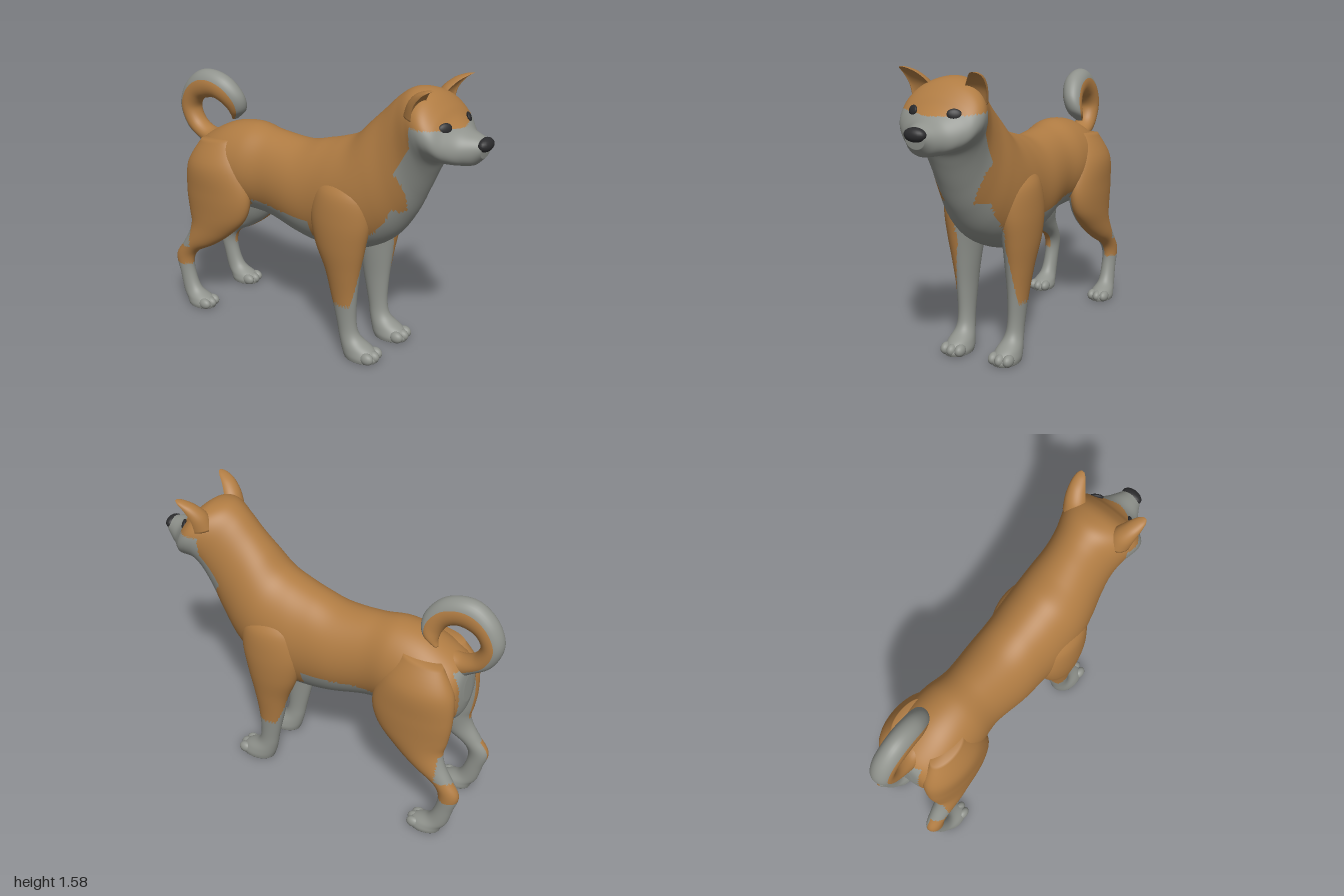
import * as THREE from 'three';

const material = (name, color) => Object.assign(new THREE.MeshStandardMaterial({ color }), { name });
const tan = material('tan fur', 0xb07c43);
const grey = material('pale grey fur', 0x90938d);
const dark = material('dark nose and eyes', 0x2b2b2d);

const catmull = (a, b, c, d, t) =>
  0.5 * (2 * b + (c - a) * t + (2 * a - 5 * b + 4 * c - d) * t * t + (3 * b - a - 3 * c + d) * t * t * t);

// Each section is [yA, zA, yB, zB, xCentre, halfWidth]: an oval from point A to
// point B. isGrey(x, y, z, cos, sin) picks the colour of each face.
function loft(name, sections, { isGrey = () => false, side = 1, sides = 48, steps = 6, shape = (c) => c } = {}) {
  const n = sections.length;
  const at = (i) => sections[Math.min(n - 1, Math.max(0, i))];
  const rows = (n - 1) * steps + 1;
  const pos = [];
  for (let r = 0; r < rows; r++) {
    const i = Math.min(n - 2, Math.floor(r / steps));
    const t = r / steps - i;
    const [ya, za, yb, zb, xc, w] = at(i).map((v, k) => catmull(at(i - 1)[k], v, at(i + 1)[k], at(i + 2)[k], t));
    for (let j = 0; j < sides; j++) {
      const a = (j / sides) * Math.PI * 2;
      const c = shape(Math.cos(a));
      pos.push(side * (xc + w * Math.sin(a)), (ya + yb) / 2 + ((ya - yb) / 2) * c, (za + zb) / 2 + ((za - zb) / 2) * c);
    }
  }
  // Cap centres
  for (const r of [0, rows - 1]) {
    const [ya, za, yb, zb, xc] = at(r === 0 ? 0 : n - 1);
    pos.push(side * xc, (ya + yb) / 2, (za + zb) / 2);
  }
  const buckets = [[], []];
  const add = (j, ...tri) => {
    const m = [0, 1, 2].map((k) => tri.reduce((s, v) => s + pos[v * 3 + k], 0) / 3);
    const a = ((j + 0.5) / sides) * Math.PI * 2;
    buckets[isGrey(m[0] * side, m[1], m[2], Math.cos(a), Math.sin(a)) ? 1 : 0].push(...tri);
  };
  for (let j = 0; j < sides; j++) {
    const k = (j + 1) % sides;
    for (let r = 0; r < rows - 1; r++) {
      const p = r * sides, q = p + sides;
      add(j, p + j, p + k, q + k);
      add(j, p + j, q + k, q + j);
    }
    const last = (rows - 1) * sides;
    add(j, rows * sides, k, j);
    add(j, rows * sides + 1, last + j, last + k);
  }
  // Turn all faces outward
  const V = (i) => new THREE.Vector3().fromArray(pos, i * 3);
  let volume = 0;
  for (const b of buckets)
    for (let i = 0; i < b.length; i += 3) volume += V(b[i]).dot(V(b[i + 1]).cross(V(b[i + 2])));
  if (volume < 0) buckets.forEach((b) => b.reverse());

  const geo = new THREE.BufferGeometry();
  geo.setAttribute('position', new THREE.Float32BufferAttribute(pos, 3));
  geo.setIndex([...buckets[0], ...buckets[1]]);
  geo.addGroup(0, buckets[0].length, 0);
  geo.addGroup(buckets[0].length, buckets[1].length, 1);
  geo.computeVertexNormals();
  const mesh = new THREE.Mesh(geo, [tan, grey]);
  mesh.name = name;
  return mesh;
}

function ball(name, mat, position, scale, facing) {
  const mesh = new THREE.Mesh(new THREE.SphereGeometry(1, 20, 14), mat);
  mesh.name = name;
  mesh.position.set(...position);
  mesh.scale.set(...scale);
  if (facing) mesh.quaternion.setFromUnitVectors(new THREE.Vector3(0, 0, 1), new THREE.Vector3(...facing).normalize());
  return mesh;
}

// Rump, trunk, neck, skull and muzzle: A is the back line, B the belly line
const bodySections = [
  [0.92, -0.83, 0.78, -0.84, 0, 0.05],
  [0.99, -0.81, 0.70, -0.82, 0, 0.14],
  [1.05, -0.74, 0.65, -0.76, 0, 0.19],
  [1.12, -0.60, 0.63, -0.62, 0, 0.21],
  [1.145, -0.45, 0.64, -0.45, 0, 0.205],
  [1.125, -0.30, 0.63, -0.30, 0, 0.185],
  [1.115, -0.10, 0.58, -0.10, 0, 0.205],
  [1.15, 0.04, 0.555, 0.05, 0, 0.21],
  [1.185, 0.15, 0.56, 0.20, 0, 0.22],
  [1.23, 0.25, 0.63, 0.38, 0, 0.22],
  [1.32, 0.34, 0.72, 0.50, 0, 0.205],
  [1.40, 0.42, 0.85, 0.59, 0, 0.185],
  [1.48, 0.50, 0.98, 0.65, 0, 0.18],
  [1.525, 0.57, 1.10, 0.70, 0, 0.195],
  [1.53, 0.64, 1.17, 0.735, 0, 0.215],
  [1.51, 0.70, 1.187, 0.77, 0, 0.22],
  [1.46, 0.76, 1.187, 0.81, 0, 0.205],
  [1.41, 0.805, 1.187, 0.85, 0, 0.165],
  [1.37, 0.86, 1.19, 0.89, 0, 0.115],
  [1.35, 0.925, 1.20, 0.925, 0, 0.08],
  [1.335, 0.975, 1.24, 0.965, 0, 0.052],
];
function bodyIsGrey(x, y, z, cos) {
  const w = Math.abs(x);
  if (z > 0.66 && y > 1.17) return y < 1.385 - 0.1 * Math.max(0, z - 0.75); // cheeks, muzzle
  if (z > 0.05 && cos < -0.2) return w < (y < 0.9 ? 0.145 : 0.08 + (y - 0.9) * 0.45); // chest, throat
  if (z < -0.77) return w < 0.1 && y < 0.99; // under the tail
  if (z < -0.38) return y < 0.72 && w < 0.14;
  return z < 0.08 && y < 0.75 - 0.04 * Math.abs(z + 0.3); // belly
}

// Legs, shoulder or hip to paw: A is the front edge, B the back edge
const foreSections = [
  [1.02, 0.36, 1.02, 0.12, 0.13, 0.05],
  [0.94, 0.42, 0.94, 0.08, 0.145, 0.095],
  [0.80, 0.42, 0.80, 0.06, 0.16, 0.099],
  [0.65, 0.39, 0.65, 0.09, 0.165, 0.088],
  [0.50, 0.36, 0.50, 0.15, 0.16, 0.07],
  [0.35, 0.34, 0.35, 0.185, 0.155, 0.053],
  [0.20, 0.335, 0.20, 0.22, 0.151, 0.045],
  [0.12, 0.36, 0.12, 0.235, 0.148, 0.05],
  [0.07, 0.44, 0.06, 0.25, 0.146, 0.066],
  [0.03, 0.475, 0.03, 0.26, 0.145, 0.073],
  [0.005, 0.47, 0.005, 0.27, 0.145, 0.069],
];
const foreIsGrey = (x, y) => y < 0.31 || (y < 0.9 && x < 0.145 + Math.max(0, 0.6 - y) * 0.15);

const hindSections = [
  [1.06, -0.52, 1.03, -0.74, 0.13, 0.05],
  [0.92, -0.43, 0.89, -0.82, 0.15, 0.10],
  [0.76, -0.38, 0.73, -0.83, 0.165, 0.09],
  [0.62, -0.41, 0.60, -0.815, 0.17, 0.08],
  [0.50, -0.52, 0.53, -0.80, 0.175, 0.07],
  [0.41, -0.64, 0.46, -0.815, 0.185, 0.058],
  [0.34, -0.76, 0.38, -0.86, 0.19, 0.048],
  [0.27, -0.80, 0.29, -0.915, 0.195, 0.043],
  [0.18, -0.79, 0.18, -0.89, 0.196, 0.041],
  [0.10, -0.75, 0.08, -0.865, 0.198, 0.046],
  [0.06, -0.67, 0.04, -0.84, 0.198, 0.06],
  [0.03, -0.645, 0.02, -0.83, 0.198, 0.066],
  [0.005, -0.65, 0.005, -0.825, 0.198, 0.062],
];
const hindIsGrey = (x, y, z, cos, sin) =>
  y < 0.25 || (sin < -0.25 && y < 0.95) || (z < -0.785 && y > 0.37 && y < 0.52);

// Curled tail: A is the outside of the curl, B the inside
const tailSections = [
  [0.92, -0.80, 1.06, -0.70, 0, 0.06],
  [0.96, -0.85, 1.045, -0.78, 0, 0.06],
  [1.035, -0.95, 1.08, -0.85, 0, 0.06],
  [1.16, -0.998, 1.145, -0.88, 0, 0.062],
  [1.28, -0.96, 1.20, -0.85, 0, 0.064],
  [1.365, -0.87, 1.22, -0.80, 0, 0.065],
  [1.385, -0.77, 1.225, -0.75, 0.005, 0.065],
  [1.35, -0.66, 1.205, -0.705, 0.015, 0.063],
  [1.26, -0.585, 1.17, -0.68, 0.035, 0.056],
  [1.17, -0.585, 1.13, -0.672, 0.055, 0.045],
  [1.105, -0.65, 1.10, -0.68, 0.065, 0.018],
];

// Ear, root to tip: A is the hollow front, B the back
const earSections = [
  [1.40, 0.74, 1.43, 0.60, 0.142, 0.062],
  [1.47, 0.735, 1.50, 0.63, 0.153, 0.06],
  [1.53, 0.76, 1.55, 0.68, 0.175, 0.045],
  [1.565, 0.78, 1.575, 0.735, 0.190, 0.028],
  [1.58, 0.785, 1.582, 0.77, 0.196, 0.009],
];

export function createModel() {
  const dog = new THREE.Group();
  dog.name = 'dog';
  dog.add(loft('body', bodySections, { isGrey: bodyIsGrey, sides: 80, steps: 8 }));
  dog.add(loft('tail', tailSections, { isGrey: (x, y, z, cos) => cos > 0.35, sides: 32 }));
  dog.add(ball('nose', dark, [0, 1.308, 0.965], [0.058, 0.035, 0.035]));

  for (const side of [1, -1]) {
    const label = side > 0 ? 'left' : 'right';
    dog.add(loft(label + 'ForeLeg', foreSections, { isGrey: foreIsGrey, side }));
    dog.add(loft(label + 'HindLeg', hindSections, { isGrey: hindIsGrey, side }));
    dog.add(loft(label + 'Ear', earSections, { side, sides: 32, shape: (c) => (c > 0 ? -0.3 * c : c) }));
    dog.add(ball(label + 'Eye', dark, [side * 0.113, 1.386, 0.807], [0.036, 0.026, 0.012], [side * 0.5, 0.3, 0.8]));
    // Toes
    for (const t of [-1, 0, 1]) {
      const reach = t === 0 ? 0.01 : 0;
      dog.add(ball(label + 'ForeToe', grey, [side * (0.145 + t * 0.043), 0.035, 0.435 + reach], [0.028, 0.033, 0.04]));
      dog.add(ball(label + 'HindToe', grey, [side * (0.198 + t * 0.038), 0.033, -0.685 + reach], [0.026, 0.031, 0.04]));
    }
  }
  return dog;
}
